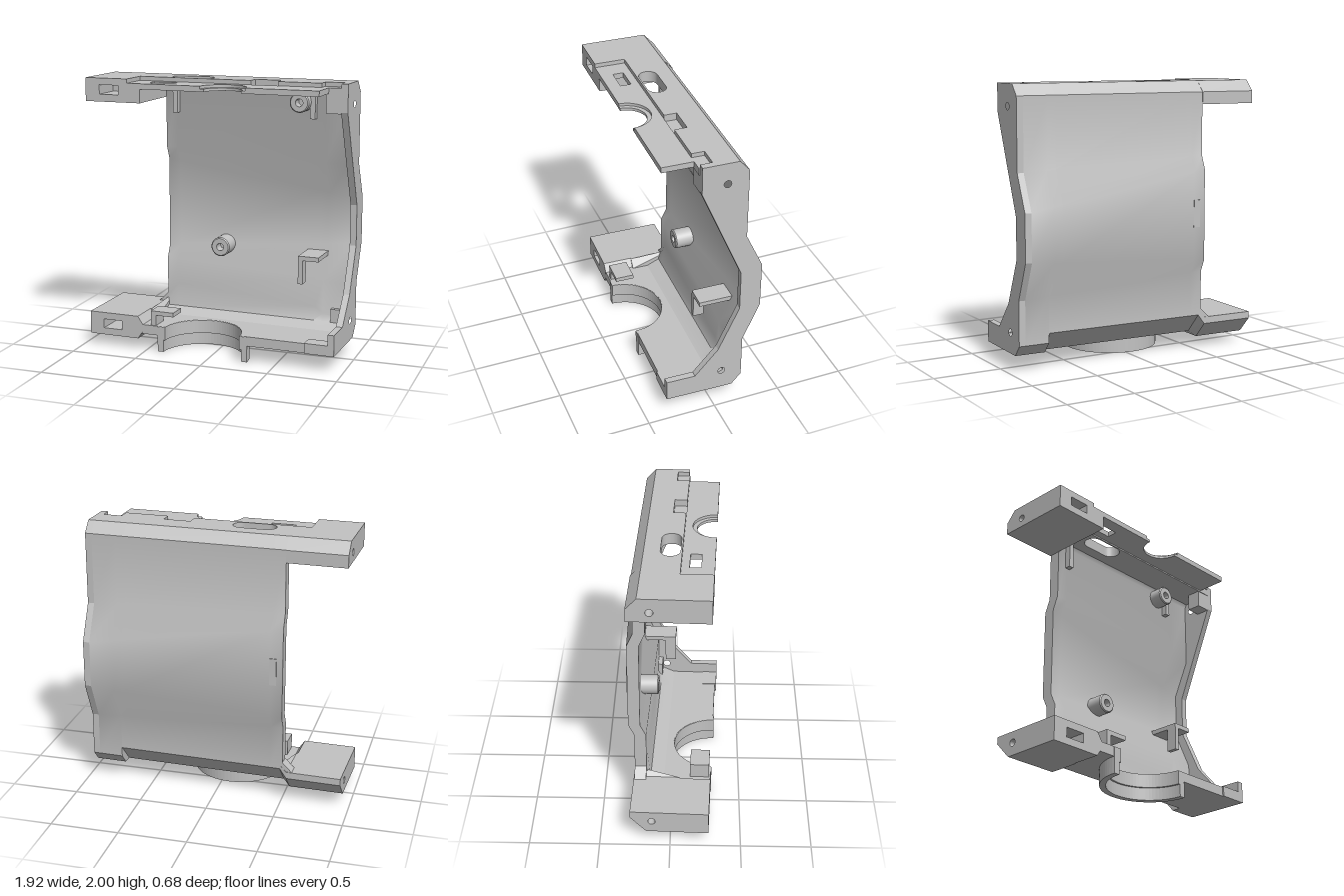
import * as THREE from 'three';
import { toCreasedNormals } from 'three/addons/utils/BufferGeometryUtils.js';

export function createModel() {
  const root = new THREE.Group();
  root.name = 'bracketHousing';
  const grey = new THREE.MeshStandardMaterial({ color: 0xc2c2c2 });
  grey.name = 'plain grey';

  const add = (name, geo) => {
    const m = new THREE.Mesh(geo, grey);
    m.name = name;
    root.add(m);
    return m;
  };
  const poly = (pts) => new THREE.Shape(pts.map(([a, b]) => new THREE.Vector2(a, b)));
  const rectPath = (x0, x1, y0, y1) => new THREE.Path(
    [[x0, y0], [x0, y1], [x1, y1], [x1, y0]].map(([a, b]) => new THREE.Vector2(a, b)));
  const extrude = (shape, depth) =>
    new THREE.ExtrudeGeometry(shape, { depth, bevelEnabled: false, curveSegments: 20 });
  // plan shape (x, z) between two heights
  const slab = (name, shape, y0, y1) =>
    add(name, extrude(shape, y1 - y0).rotateX(Math.PI / 2).translate(0, y1, 0));
  // side profile (z, y) between two x positions
  const rail = (name, shape, x0, x1) =>
    add(name, extrude(shape, x1 - x0).rotateY(-Math.PI / 2).translate(x1, 0, 0));
  // front shape (x, y) between two z positions
  const face = (name, shape, z0, z1) => add(name, extrude(shape, z1 - z0).translate(0, 0, z0));
  const box = (name, x0, x1, y0, y1, z0, z1) => add(name,
    new THREE.BoxGeometry(x1 - x0, y1 - y0, z1 - z0)
      .translate((x0 + x1) / 2, (y0 + y1) / 2, (z0 + z1) / 2));
  // solid through (z, y) profiles, listed counterclockwise, at rising x stations
  const loft = (name, xs, profiles) => {
    const pos = [];
    const put = (s, i) => pos.push(xs[s], profiles[s][i][1], profiles[s][i][0]);
    const n = profiles[0].length;
    const last = xs.length - 1;
    for (let s = 0; s < last; s++) {
      for (let i = 0; i < n; i++) {
        const j = (i + 1) % n;
        put(s, i); put(s + 1, j); put(s, j);
        put(s, i); put(s + 1, i); put(s + 1, j);
      }
    }
    const tris = (P) => THREE.ShapeUtils.triangulateShape(P.map(([p, q]) => new THREE.Vector2(p, q)), []);
    tris(profiles[0]).forEach(([i, j, k]) => { put(0, i); put(0, j); put(0, k); });
    tris(profiles[last]).forEach(([i, j, k]) => { put(last, i); put(last, k); put(last, j); });
    const g = new THREE.BufferGeometry();
    g.setAttribute('position', new THREE.Float32BufferAttribute(pos, 3));
    return add(name, toCreasedNormals(g, 0.6));
  };

  // back shell: bulge grows towards the end panel, ridge above a deep lower chamfer
  const wall = 0.085;
  const section = ([x, ledge, chamfer]) => {
    const mix = (a, b) => THREE.MathUtils.lerp(a, b, (x + 0.52) / 1.42);
    const bulge = mix(0.293, 0.371);
    const [y1, y2, y3, y4] = [mix(1.46, 1.4), mix(1.36, 1.14), mix(0.69, 0.8), mix(0.6, 0.52)];
    return [
      [-0.18, 2], [-0.25, 1.92], [-0.25, y1], [-bulge, y2], [-bulge, y3], [-0.25, y4],
      [-0.25, chamfer], [chamfer - 0.38, 0.12], [-0.04, 0.12], [-0.04, 0.19], [-0.135, 0.232],
      [wall - 0.25, ledge], [wall - 0.25, y4], [wall - bulge, y3], [wall - bulge, y2],
      [wall - 0.25, y1], [wall - 0.25, 1.89], [-0.15, 1.92], [-0.18, 1.95],
    ];
  };
  const stations = [[-0.52, 0.3, 0.27], [-0.43, 0.4, 0.27], [0.66, 0.33, 0.27],
    [0.72, 0.28, 0.27], [0.722, 0.28, 0.2], [0.9, 0.25, 0.2]];
  loft('backShell', stations.map((s) => s[0]), stations.map(section));

  // end panel with two screw holes
  const panel = poly([
    [0.075, 2], [0.075, 1.8], [-0.22, 1.1], [-0.22, 0.8], [-0.07, 0.47], [0.1, 0.275],
    [0.31, 0.275], [0.31, 0.12], [-0.18, 0.12], [-0.25, 0.2], [-0.25, 0.52], [-0.371, 0.8],
    [-0.371, 1.14], [-0.25, 1.4], [-0.25, 1.92], [-0.18, 2],
  ]);
  for (const y of [1.845, 0.27]) panel.holes.push(new THREE.Path().absarc(-0.1, y, 0.026, 0, Math.PI * 2, true));
  rail('endPanel', panel, 0.9, 0.948);

  // top plate with long slot, front notch and stepped corner
  const top = poly([
    [-0.52, -0.18], [0.9, -0.18], [0.9, -0.01], [0.76, -0.01], [0.76, 0.08], [0.44, 0.08],
    [0.44, -0.01], [0.24, -0.01], [0.24, 0.08], [-0.52, 0.08],
  ]);
  const slot = new THREE.Path();
  slot.absarc(-0.14, 0, 0.068, -Math.PI / 2, Math.PI / 2, false);
  slot.absarc(-0.32, 0, 0.068, Math.PI / 2, Math.PI * 1.5, false);
  slot.closePath();
  top.holes.push(slot);
  slab('topPlate', top, 1.92, 2);
  box('topNotchFloor', 0.24, 0.44, 1.92, 1.95, -0.01, 0.08);
  box('topCornerStep', 0.76, 0.9, 1.92, 1.97, -0.01, 0.08);

  // plate whose front edge has a round cutout
  const notched = (x0, x1, z0, z1, cx, r) => {
    const s = new THREE.Shape();
    s.moveTo(x0, z0).lineTo(x1, z0).lineTo(x1, z1).lineTo(cx + r, z1);
    s.absarc(cx, z1, r, Math.PI * 2, Math.PI, true);
    s.lineTo(x0, z1);
    return s;
  };
  // lowered front shelf, stepped around the cutout
  for (const [r, y0, y1] of [[0.14, 1.93, 1.95], [0.17, 1.95, 1.97]]) {
    const shelf = notched(-0.62, 0.81, 0.08, 0.303, 0.11, r);
    shelf.holes.push(rectPath(-0.48, -0.3, 0.135, 0.212));
    slab('frontShelf', shelf, y0, y1);
  }
  box('cornerBlockTop', 0.79, 0.9, 1.79, 1.92, -0.03, 0.075);
  box('cornerBlockBottom', 0.79, 0.9, 0.19, 0.33, -0.2, -0.13);

  // bottom plate and half ring
  slab('bottomPlate', notched(-0.54, 0.9, -0.04, 0.3, -0.05, 0.29), 0.12, 0.19);
  for (const [r, y0, y1] of [[0.305, 0, 0.09], [0.29, 0.09, 0.188]]) {
    const ring = new THREE.Shape();
    ring.absarc(-0.05, 0.305, 0.35, Math.PI, Math.PI * 2, false);
    ring.absarc(-0.05, 0.305, r, Math.PI * 2, Math.PI, true);
    slab('halfRing', ring, y0, y1);
  }
  box('bottomFrontCorner', 0.73, 0.9, 0.12, 0.195, 0.2, 0.31);

  // side wings: chamfered back with screw hole, front with pocket
  const wing = (name, profile, holeY, front, slotY) => {
    const back = poly(profile);
    back.holes.push(new THREE.Path().absarc(-0.1, holeY, 0.026, 0, Math.PI * 2, true));
    rail(name + 'Back', back, -0.95, -0.55);
    const f = poly(front);
    f.holes.push(rectPath(-0.84, -0.69, slotY - 0.034, slotY + 0.034));
    face(name + 'Front', f, 0.08, 0.303);
  };
  const topProfile = [[-0.18, 2], [-0.255, 1.92], [-0.255, 1.83], [0.08, 1.83], [0.08, 2]];
  wing('topWing', topProfile, 1.9,
    [[-0.95, 1.83], [-0.52, 1.83], [-0.52, 1.93], [-0.62, 1.93], [-0.62, 2], [-0.95, 2]], 1.917);
  rail('topWingRoot', poly(topProfile), -0.55, -0.52);
  const lowProfile = [[-0.255, 0.25], [-0.255, 0.2], [-0.14, 0.08], [0.08, 0.08], [0.08, 0.25]];
  wing('bottomWing', lowProfile, 0.17,
    [[-0.95, 0.08], [-0.56, 0.08], [-0.52, 0.14], [-0.52, 0.19], [-0.56, 0.25], [-0.95, 0.25]], 0.165);
  loft('bottomWingRoot', [-0.55, -0.5],
    [lowProfile, [[-0.25, 0.3], [-0.25, 0.27], [-0.11, 0.12], [0.08, 0.12], [0.08, 0.19]]]);
  face('wingGusset', poly([[-0.59, 0.25], [-0.52, 0.25], [-0.52, 0.32]]), -0.25, -0.165);

  // ribs beneath the top plate
  for (const x of [-0.43, 0.635]) box('rib', x - 0.019, x + 0.019, 1.72, 1.92, -0.19, -0.12);

  // screw bosses
  const boss = (x, y, z0, z1) => {
    const L = z1 - z0;
    const pts = [[0.072, 0], [0.072, L - 0.008], [0.064, L], [0.028, L], [0.028, L - 0.08], [0, L - 0.08]]
      .map(([r, h]) => new THREE.Vector2(r, h));
    add('screwBoss', toCreasedNormals(new THREE.LatheGeometry(pts, 32), 0.5)
      .rotateX(Math.PI / 2).translate(x, y, z0));
  };
  boss(-0.065, 0.73, -0.24, -0.1);
  boss(0.552, 1.84, -0.18, -0.06);

  // cable hooks
  box('hookArm', 0.575, 0.73, 0.705, 0.738, -0.27, -0.01);
  box('hookTab', 0.575, 0.61, 0.53, 0.705, -0.09, -0.01);
  box('lowerHookWall', -0.46, -0.42, 0.17, 0.3, 0.15, 0.29);
  box('lowerHookFlange', -0.42, -0.28, 0.268, 0.3, 0.15, 0.29);

  // small pad on the back
  box('backPad', -0.475, -0.425, 0.94, 1.14, -0.303, -0.28);

  // the whole part sits slightly turned
  root.rotation.y = -0.033;
  const model = new THREE.Group();
  model.name = 'model';
  model.add(root);
  return model;
}
